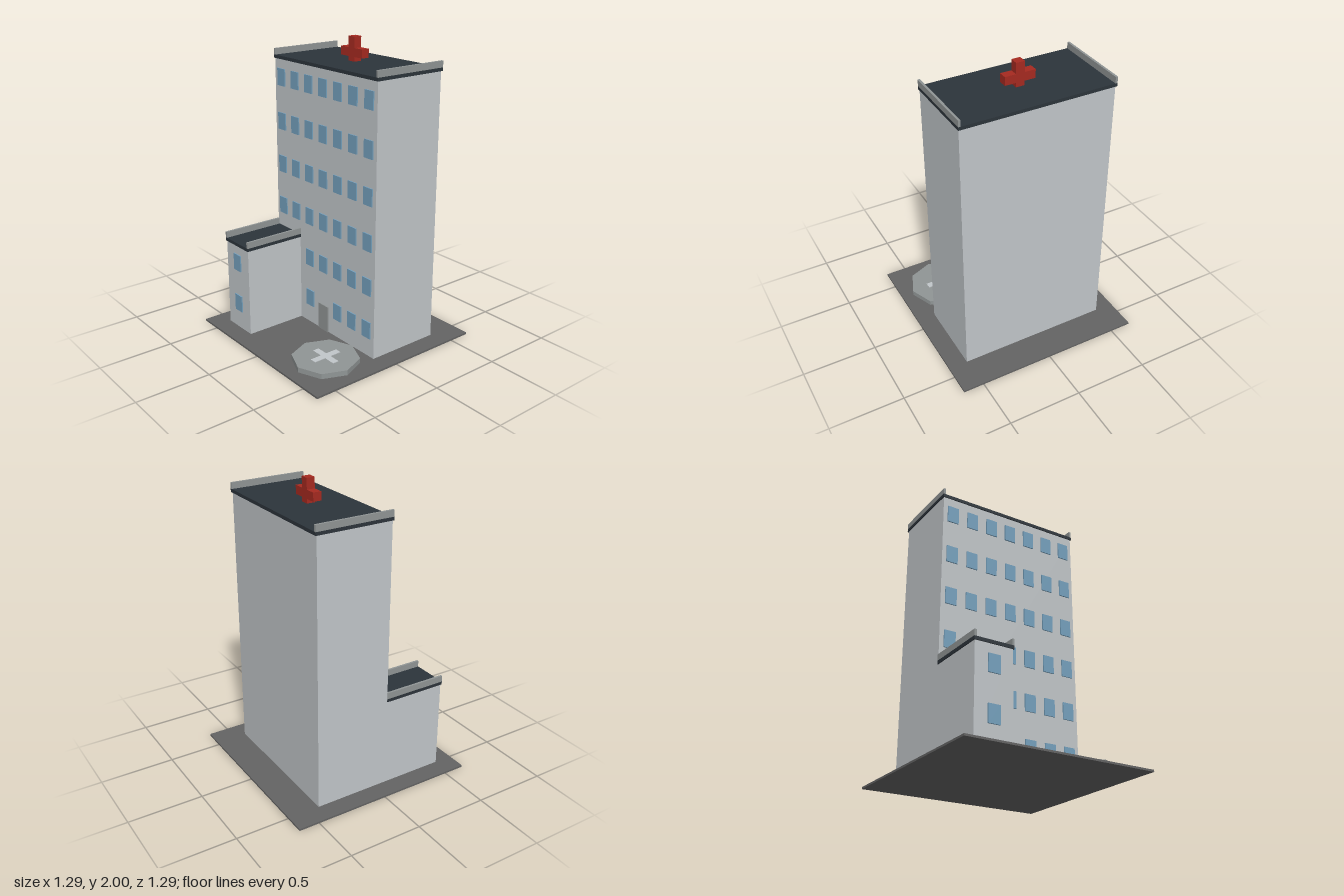
import * as THREE from 'three';

const material = (name, color) => {
  const m = new THREE.MeshStandardMaterial({ color });
  m.name = name;
  return m;
};

export function createModel() {
  const wall = material('wall white', 0xc1c6c9);
  const roof = material('roof slate', 0x2c343b);
  const trim = material('trim grey', 0x909595);
  const glass = material('window blue', 0x74a0bd);
  const red = material('sign red', 0xa62a20);
  const asphalt = material('asphalt', 0x646464);

  const model = new THREE.Group();
  model.name = 'hospital';

  // Box given by its extents along each axis
  const box = (name, mat, [x0, x1], [y0, y1], [z0, z1], parent = model) => {
    const mesh = new THREE.Mesh(new THREE.BoxGeometry(x1 - x0, y1 - y0, z1 - z0), mat);
    mesh.name = name;
    mesh.position.set((x0 + x1) / 2, (y0 + y1) / 2, (z0 + z1) / 2);
    parent.add(mesh);
    return mesh;
  };

  const ground = 0.013;
  box('ground', asphalt, [-0.643, 0.643], [0, ground], [-0.643, 0.643]);

  // Walls, roof slab and two side parapets of one building block
  const block = (name, [x0, x1], [z0, z1], top, backLip) => {
    const g = new THREE.Group();
    g.name = name;
    const lip = 0.006, pw = 0.015;
    const zr = [z0 - backLip, z1 + lip];
    box('walls', wall, [x0, x1], [ground, top], [z0, z1], g);
    box('roofSlab', roof, [x0 - lip, x1 + lip], [top, top + 0.022], zr, g);
    box('parapetRight', trim, [x0 - lip, x0 - lip + pw], [top + 0.022, top + 0.064], zr, g);
    box('parapetLeft', trim, [x1 + lip - pw, x1 + lip], [top + 0.022, top + 0.064], zr, g);
    model.add(g);
  };
  block('tower', [-0.515, 0.515], [-0.427, 0.087], 1.82, 0.01);
  block('wing', [-0.515, -0.258], [0.087, 0.518], 0.62, 0);

  // Windows
  const windows = new THREE.Group();
  windows.name = 'windows';
  model.add(windows);
  const addWindow = (x, y, z) =>
    box('window', glass, [x - 0.04, x + 0.04], [y - 0.058, y + 0.058], [z, z + 0.008], windows);
  for (let row = 0; row < 6; row++) {
    const y = 0.2 + row * 0.3;
    for (let col = -3; col <= 3; col++) {
      if (row < 2 && col < -1) continue; // covered by the wing
      if (row === 0 && col === 0) continue; // place of the door
      addWindow(col * 0.148, y, 0.087);
    }
    if (row < 2) addWindow(-0.387, y, 0.518);
  }

  box('door', trim, [-0.051, 0.051], [ground, 0.2], [0.087, 0.095]);

  // Rooftop cross
  const sign = new THREE.Group();
  sign.name = 'roofCross';
  model.add(sign);
  const signZ = [-0.198, -0.142];
  box('upright', red, [-0.029, 0.029], [1.842, 2], signZ, sign);
  box('armRight', red, [-0.103, -0.029], [1.871, 1.928], signZ, sign);
  box('armLeft', red, [0.029, 0.103], [1.871, 1.928], signZ, sign);

  // Octagonal helipad with its marking
  const pad = new THREE.Group();
  pad.name = 'helipad';
  pad.position.set(0.343, 0, 0.343);
  model.add(pad);
  const slab = new THREE.Mesh(
    new THREE.CylinderGeometry(0.221, 0.221, 0.035, 8).toNonIndexed(), trim);
  slab.geometry.computeVertexNormals();
  slab.name = 'padSlab';
  slab.position.y = ground + 0.0175;
  pad.add(slab);
  const markY = [0.048, 0.052];
  box('markLong', wall, [-0.103, 0.103], markY, [-0.022, 0.022], pad);
  box('markFront', wall, [-0.022, 0.022], markY, [0.022, 0.103], pad);
  box('markBack', wall, [-0.022, 0.022], markY, [-0.103, -0.022], pad);

  return model;
}
